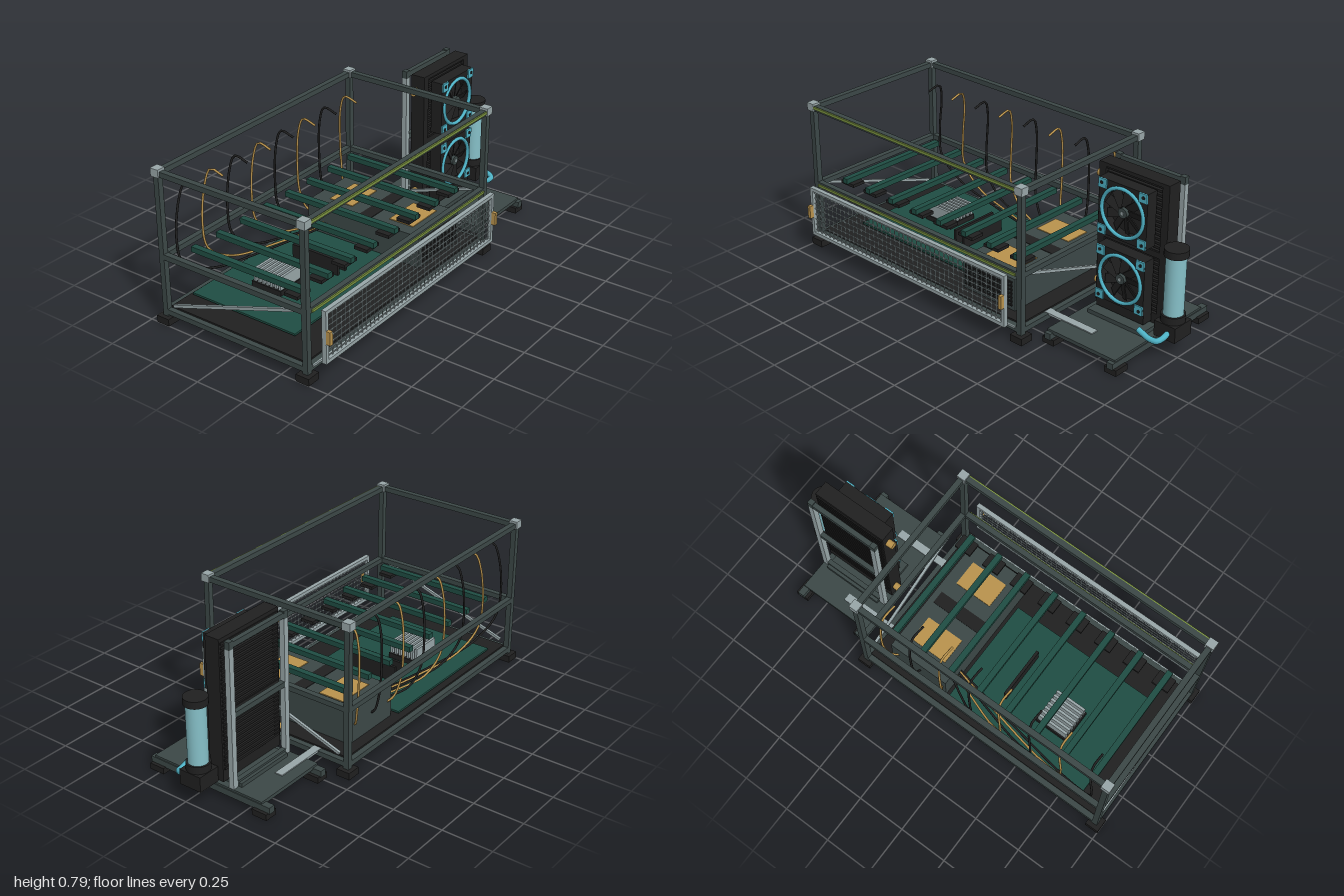
import * as THREE from 'three';

const mat = (name, color) => {
  const m = new THREE.MeshStandardMaterial({ color });
  m.name = name;
  return m;
};

export function createModel() {
  const root = new THREE.Group();
  root.name = 'openFrameComputer';
  const steel = mat('dark steel', 0x3c4847);
  const black = mat('black', 0x202020);
  const grey = mat('light grey metal', 0x98a6a8);
  const green = mat('circuit green', 0x1f4d43);
  const brass = mat('brass', 0xb9934d);
  const cyan = mat('cyan', 0x4fb4c8);
  const glass = mat('reservoir blue', 0x86c0c8);
  const olive = mat('olive light strip', 0x7c9440);
  let part = root;

  const group = (name) => {
    part = new THREE.Group();
    part.name = name;
    root.add(part);
    return part;
  };
  const add = (name, geo, m, x = 0, y = 0, z = 0) => {
    const mesh = new THREE.Mesh(geo, m);
    mesh.name = name;
    mesh.position.set(x, y, z);
    part.add(mesh);
    return mesh;
  };
  // box given by its limits on each axis
  const box = (name, m, x0, x1, y0, y1, z0, z1) =>
    add(name, new THREE.BoxGeometry(x1 - x0, y1 - y0, z1 - z0), m, (x0 + x1) / 2, (y0 + y1) / 2, (z0 + z1) / 2);
  const tube = (name, m, pts, r, n = 32) =>
    add(name, new THREE.TubeGeometry(new THREE.CatmullRomCurve3(pts.map((p) => new THREE.Vector3(...p))), n, r, 8), m);

  // Frame: posts, feet, corner blocks and three rings of rails
  const X = [-0.967, 0.4], Z = [-0.429, 0.366], w = 0.014;
  group('frame');
  for (const x of X) for (const z of Z) {
    box('post', steel, x - w, x + w, 0.03, 0.75, z - w, z + w);
    box('foot', black, x - 0.035, x + 0.035, 0, 0.035, z - 0.035, z + 0.035);
    box('cornerBlock', grey, x - 0.022, x + 0.022, 0.731, 0.77, z - 0.022, z + 0.022);
  }
  for (const y of [0.058, 0.339, 0.746]) {
    for (const z of Z) box('longRail', steel, X[0], X[1], y - 0.013, y + 0.013, z - w, z + w);
    for (const x of X) box('sideRail', steel, x - w, x + w, y - 0.013, y + 0.013, Z[0], Z[1]);
  }
  box('lightStrip', olive, X[0] + 0.02, X[1] - 0.02, 0.744, 0.757, 0.379, 0.387);
  box('middleStrip', olive, X[0] + 0.02, X[1] - 0.02, 0.33, 0.342, 0.379, 0.387);
  box('lowerStrip', grey, X[0] + 0.02, X[1] - 0.02, 0.062, 0.072, 0.379, 0.386);
  for (const x of X) {
    const dy = 0.235, dz = 0.705;
    const b = add('diagonalBrace', new THREE.BoxGeometry(0.014, 0.014, Math.hypot(dy, dz)), grey, x, 0.212, -0.032);
    b.rotation.x = -Math.atan2(dy, dz);
  }
  box('tray', black, -0.955, 0.388, 0.066, 0.079, -0.415, 0.352);

  // Detached mesh panel in front
  group('frontPanel');
  const px0 = -0.938, px1 = 0.373, py0 = 0.092, py1 = 0.352;
  for (const y of [py0, py1 - 0.018]) box('panelRail', grey, px0, px1, y, y + 0.018, 0.424, 0.447);
  for (const x of [px0, px1 - 0.018]) {
    box('panelSide', grey, x, x + 0.018, py0, py1, 0.424, 0.447);
    box('handle', brass, x, x + 0.018, 0.192, 0.257, 0.447, 0.468);
  }
  for (let i = 1; i < 44; i++) {
    const x = px0 + ((px1 - px0) * i) / 44;
    box('meshWire', grey, x - 0.002, x + 0.002, py0, py1, 0.433, 0.437);
  }
  for (let i = 1; i < 9; i++) {
    const y = py0 + ((py1 - py0) * i) / 9;
    box('meshWire', grey, px0, px1, y - 0.002, y + 0.002, 0.433, 0.437);
  }

  // Main board with cooler and memory
  group('mainBoard');
  box('board', green, -0.84, -0.05, 0.09, 0.1, -0.39, 0.2);
  box('boardSpacer', black, -0.8, -0.1, 0.079, 0.09, -0.3, 0.16);
  box('coolerBase', black, -0.635, -0.46, 0.1, 0.125, -0.215, -0.045);
  for (let i = 0; i < 7; i++) {
    const z = -0.208 + i * 0.024;
    box('coolerFin', grey, -0.628, -0.466, 0.12, 0.19, z, z + 0.013);
  }
  for (const x of [-0.33, -0.275]) box('memoryStick', black, x - 0.007, x + 0.007, 0.1, 0.18, -0.215, 0.05);

  // Power supply with labels and front grille
  group('powerSupply');
  box('supplyCase', steel, -0.03, 0.295, 0.079, 0.243, -0.36, 0.293);
  box('topSlot', black, -0.03, 0.265, 0.242, 0.246, -0.067, 0);
  for (const z of [-0.21, 0.145]) box('label', brass, 0.035, 0.235, 0.242, 0.247, z - 0.068, z + 0.068);
  for (let i = 0; i < 7; i++) box('grilleBar', black, -0.015, 0.28, 0.1 + i * 0.02, 0.107 + i * 0.02, 0.293, 0.3);
  for (let i = 0; i < 14; i++) box('grilleBar', black, -0.015 + i * 0.022, -0.009 + i * 0.022, 0.1, 0.227, 0.293, 0.298);

  // Eight card bars, each with a connector and a hooked cable
  group('cardRack');
  for (let i = 0; i < 8; i++) {
    const b = -0.86 + i * 0.1643, d = b - 0.12;
    box('cardBar', green, b - 0.015, b + 0.015, 0.34, 0.367, -0.35, 0.285);
    box('connector', black, b - 0.045, b + 0.045, 0.326, 0.342, 0.2, 0.272);
    tube('cable', i % 2 ? brass : black, [
      [b, 0.655, -0.3], [b, 0.671, -0.375], [b + 0.012 * d, 0.6, -0.403],
      [b + 0.04 * d, 0.4, -0.411], [b + 0.02 * d, 0.27, -0.4],
      [b - 0.14 * d, 0.18, -0.372], [b - 0.45 * d, 0.15, -0.315], [0.12, 0.14, -0.21],
    ], 0.0055, 48);
  }

  // Cooling stand: feet, rails, deck and link bars to the frame
  group('coolingStand');
  for (const x of [0.508, 0.867]) {
    for (const z of [-0.33, 0.265]) box('standFoot', black, x - 0.033, x + 0.033, 0, 0.03, z - 0.04, z + 0.04);
    box('standRail', steel, x - 0.017, x + 0.017, 0.026, 0.058, -0.375, 0.31);
    box('rearPost', grey, x - 0.014, x + 0.014, 0.07, 0.75, -0.175, -0.148);
    box('postCap', steel, x - 0.014, x + 0.014, 0.75, 0.787, -0.175, -0.148);
  }
  box('deck', steel, 0.49, 0.88, 0.05, 0.068, -0.33, 0.29);
  box('deckRiser', steel, 0.53, 0.845, 0.066, 0.088, -0.19, 0.06);
  for (const y of [0.085, 0.43, 0.768]) box('rearCrossbar', steel, 0.5, 0.875, y - 0.013, y + 0.013, -0.174, -0.15);
  for (const z of [-0.252, 0.175]) box('linkBar', grey, 0.29, 0.67, 0.062, 0.073, z - 0.02, z + 0.02);

  // Radiator: frame with open slats
  group('radiator');
  for (const x of [0.492, 0.842]) box('radiatorSide', black, x, x + 0.038, 0.105, 0.783, -0.117, -0.042);
  for (const [y0, y1] of [[0.085, 0.14], [0.418, 0.448], [0.765, 0.783]])
    box('radiatorBar', black, 0.492, 0.88, y0, y1, -0.117, -0.042);
  for (let i = 0; i < 30; i++) box('slat', black, 0.5, 0.872, 0.145 + i * 0.021, 0.156 + i * 0.021, -0.122, -0.05);
  for (const y of [0.16, 0.703]) {
    add('fitting', new THREE.CylinderGeometry(0.018, 0.018, 0.036, 16), brass, 0.476, y, -0.085).rotation.z = Math.PI / 2;
  }

  // Two fans: housing with round opening, corner pads, ring, blades and hub
  const s = 0.135;
  const shell = new THREE.Shape([[-s, -s], [s, -s], [s, s], [-s, s]].map((p) => new THREE.Vector2(...p)));
  shell.holes.push(new THREE.Path().absarc(0, 0, 0.116, 0, Math.PI * 2, true));
  const shellGeo = new THREE.ExtrudeGeometry(shell, { depth: 0.063, bevelEnabled: false, curveSegments: 24 });
  for (const cy of [0.283, 0.612]) {
    const fan = group('fan');
    fan.position.set(0.683, cy, 0);
    add('fanHousing', shellGeo, black, 0, 0, -0.037);
    box('fanBack', black, -0.125, 0.125, -0.125, 0.125, -0.036, -0.025);
    add('fanRing', new THREE.TorusGeometry(0.116, 0.009, 8, 40), cyan, 0, 0, 0.027);
    for (const sx of [-1, 1]) for (const sy of [-1, 1]) {
      add('cornerPad', new THREE.BoxGeometry(0.045, 0.045, 0.008), cyan, sx * 0.112, sy * 0.112, 0.029);
      add('padScrew', new THREE.CylinderGeometry(0.008, 0.008, 0.004, 10), black, sx * 0.115, sy * 0.115, 0.034).rotation.x = Math.PI / 2;
    }
    for (let i = 0; i < 9; i++) {
      const a = (i * Math.PI * 2) / 9;
      const blade = add('blade', new THREE.BoxGeometry(0.078, 0.042, 0.005), black, Math.cos(a) * 0.064, Math.sin(a) * 0.064, 0.008);
      blade.rotation.set(0, 0, a);
      blade.rotateX(0.5);
    }
    add('hub', new THREE.CylinderGeometry(0.024, 0.024, 0.04, 24), steel, 0, 0, 0.008).rotation.x = Math.PI / 2;
    add('hubCap', new THREE.CylinderGeometry(0.008, 0.008, 0.004, 12), grey, 0, 0, 0.029).rotation.x = Math.PI / 2;
  }
  box('fanBracket', black, -0.135, 0.135, -0.512, -0.46, -0.037, 0.02);

  // Reservoir on a pump, with a bent hose
  group('reservoir');
  const rx = 0.942, rz = -0.031;
  const cyl = (name, m, r, y0, y1) => add(name, new THREE.CylinderGeometry(r, r, y1 - y0, 28), m, rx, (y0 + y1) / 2, rz);
  cyl('tank', glass, 0.047, 0.19, 0.49);
  cyl('tankCap', black, 0.056, 0.481, 0.516);
  cyl('tankCollar', black, 0.056, 0.155, 0.194);
  box('pump', black, 0.884, 1, 0.083, 0.158, -0.09, 0.028);
  tube('hose', cyan, [
    [0.958, 0.118, 0.02], [0.958, 0.108, 0.06], [0.945, 0.1, 0.085], [0.91, 0.1, 0.092], [0.845, 0.122, 0.09],
  ], 0.014);
  return root;
}
